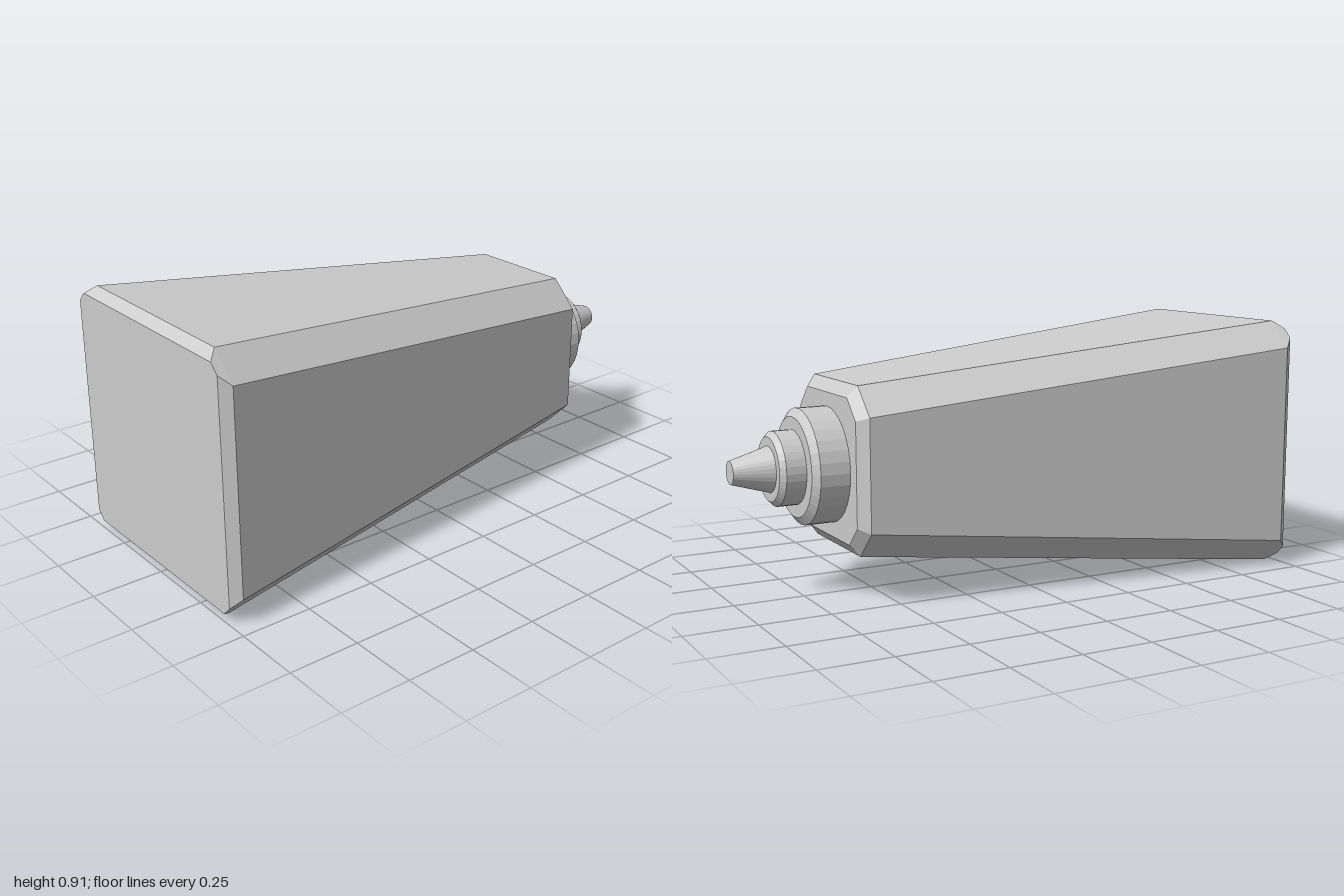
import * as THREE from 'three';

const AXIS_Y = 0.453;

// Chamfered-square cross-section around the x axis: half = half width, flat = half length of each side
function octagon(x, half, flat) {
  return [
    [half, -flat], [half, flat], [flat, half], [-flat, half],
    [-half, flat], [-half, -flat], [-flat, -half], [flat, -half],
  ].map(([y, z]) => [x, y, z]);
}

// Skin a row of sections ordered along +x and close both ends
function loft(sections) {
  const n = sections[0].length;
  const index = [];
  for (let s = 0; s < sections.length - 1; s++) {
    for (let i = 0; i < n; i++) {
      const a = s * n + i, b = s * n + (i + 1) % n;
      index.push(a, b, b + n, a, b + n, a + n);
    }
  }
  const last = (sections.length - 1) * n;
  for (let i = 1; i < n - 1; i++) {
    index.push(0, i + 1, i);
    index.push(last, last + i, last + i + 1);
  }
  const geometry = new THREE.BufferGeometry();
  geometry.setAttribute('position', new THREE.Float32BufferAttribute(sections.flat(2), 3));
  geometry.setIndex(index);
  const flat = geometry.toNonIndexed();
  flat.computeVertexNormals();
  return flat;
}

export function createModel() {
  const group = new THREE.Group();
  const material = new THREE.MeshStandardMaterial({ color: 0xcccccc, flatShading: true });

  const add = (name, geometry) => {
    const mesh = new THREE.Mesh(geometry, material);
    mesh.name = name;
    mesh.position.y = AXIS_Y;
    group.add(mesh);
  };

  // Turned part along the x axis from [x, radius] pairs
  const turned = (name, profile) => {
    const points = profile.map(([x, r]) => new THREE.Vector2(r, x));
    add(name, new THREE.LatheGeometry(points, 32).rotateZ(-Math.PI / 2));
  };

  // Tapered housing with bevelled edges
  add('taperedBody', loft([
    octagon(-1, 0.425, 0.393),
    octagon(-0.965, 0.453, 0.36),
    octagon(0.62, 0.288, 0.193),
    octagon(0.653, 0.248, 0.178),
  ]));

  // Stepped collars and conical tip
  turned('largeCollar', [[0.65, 0], [0.65, 0.2], [0.757, 0.2], [0.778, 0.172], [0.778, 0]]);
  turned('smallCollar', [[0.77, 0], [0.77, 0.128], [0.848, 0.128], [0.866, 0.11], [0.866, 0]]);
  turned('nozzleTip', [[0.86, 0], [0.86, 0.081], [1, 0.04], [1, 0]]);

  return group;
}
